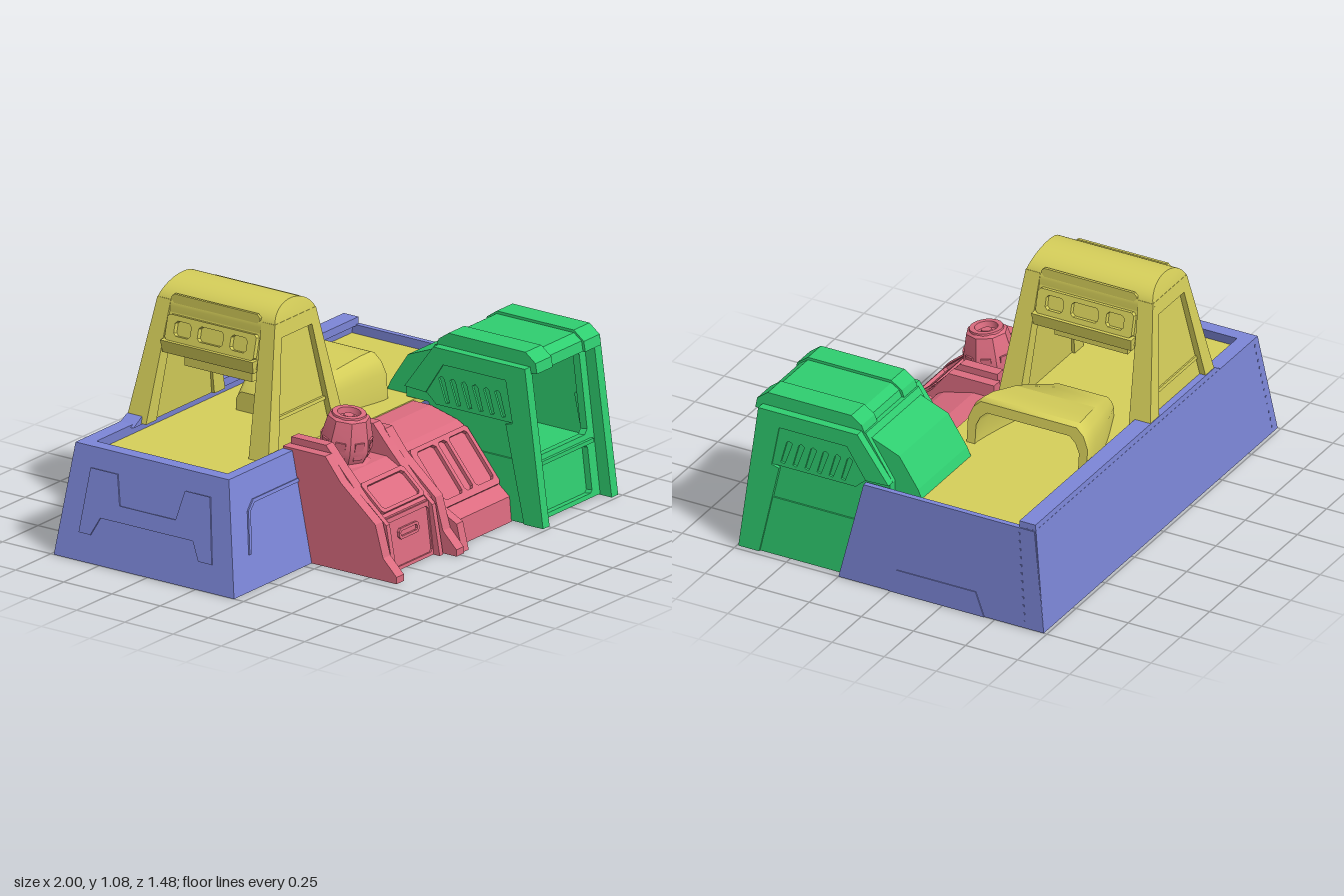
import * as THREE from 'three';
import { toCreasedNormals } from 'three/addons/utils/BufferGeometryUtils.js';

const mat = (color) => new THREE.MeshStandardMaterial({ color, side: THREE.DoubleSide });
const BLUE = mat(0x7c86d8), YELLOW = mat(0xd6cf5a), RED = mat(0xdc6c80), GREEN = mat(0x2fce70);

function add(parent, name, geo, material, pos = [0, 0, 0], rot = [0, 0, 0]) {
  const m = new THREE.Mesh(geo, material);
  m.name = name;
  m.position.set(...pos);
  m.rotation.set(...rot);
  parent.add(m);
  return m;
}
const group = (parent, name) => {
  const g = new THREE.Group();
  g.name = name;
  parent.add(g);
  return g;
};
const box = (w, h, d) => new THREE.BoxGeometry(w, h, d);

// Six-sided block between a bottom and a top rectangle [x0, x1, z0, z1]
function slab(y0, b, y1, t) {
  const geo = box(1, 1, 1), p = geo.attributes.position;
  const pick = (u, v, s) => (s > 0 ? Math.max(u, v) : Math.min(u, v));
  for (let i = 0; i < p.count; i++) {
    const r = p.getY(i) > 0 ? t : b;
    p.setXYZ(i, pick(r[0], r[1], p.getX(i)), p.getY(i) > 0 ? y1 : y0, pick(r[2], r[3], p.getZ(i)));
  }
  geo.computeVertexNormals();
  return geo;
}
function shapeOf(points, holes = []) {
  const s = new THREE.Shape(points.map((q) => new THREE.Vector2(...q)));
  for (const h of holes) s.holes.push(new THREE.Path(h.map((q) => new THREE.Vector2(...q))));
  return s;
}
// Flat outline in (x, y), thickened along z
const plate = (pts, depth, holes) =>
  new THREE.ExtrudeGeometry(shapeOf(pts, holes), { depth, bevelEnabled: false });
// Side profile in (z, y), running from x0 to x1
const prism = (pts, x0, x1, holes) =>
  plate(pts, x1 - x0, holes).rotateY(-Math.PI / 2).translate(x1, 0, 0);
const rect = (a0, b0, a1, b1, c = 0.012) => [[a0 + c, b0], [a1 - c, b0], [a1, b0 + c], [a1, b1 - c],
  [a1 - c, b1], [a0 + c, b1], [a0, b1 - c], [a0, b0 + c]];

function buildShell(root) {
  const g = group(root, 'outerWalls');
  // left, front, back and right walls; the back rim steps up
  add(g, 'leftWall', slab(0, [-1, -0.95, -0.735, 0.2], 0.48, [-0.9, -0.84, -0.695, 0.1]), BLUE);
  add(g, 'frontWall', slab(0, [-1, -0.43, 0.15, 0.2], 0.48, [-0.9, -0.43, 0.05, 0.1]), BLUE);
  add(g, 'backWall', slab(0, [-1, 1, -0.735, -0.69], 0.48, [-0.9, 0.995, -0.695, -0.63]), BLUE);
  add(g, 'backRim', slab(0.47, [-0.6, 0.995, -0.695, -0.615], 0.505, [-0.54, 0.994, -0.692, -0.615]), BLUE);
  add(g, 'rightWall', prism([[0.25, 0], [0.13, 0.475], [-0.69, 0.475], [-0.735, 0]], 0.975, 1), BLUE);
  // raised outlines on the walls
  add(g, 'rightWallNotch', prism([[0.01, 0], [-0.03, 0.11], [-0.41, 0.11], [-0.45, 0]], 0.99, 1.004), BLUE);
  add(g, 'frontWallPanel', plate([[-0.855, 0.15], [-0.815, 0.33], [-0.77, 0.37], [-0.45, 0.37], [-0.45, 0.355],
    [-0.765, 0.355], [-0.8, 0.325], [-0.84, 0.15]], 0.01), BLUE, [0, 0, 0.197], [-0.205, 0, 0]);
  add(g, 'leftWallPanel', prism([[-0.62, 0.12], [-0.6, 0.4], [-0.46, 0.4], [-0.43, 0.27], [-0.14, 0.27], [-0.11, 0.4],
    [0.02, 0.4], [0.07, 0.12], [0.0, 0.12], [-0.04, 0.2], [-0.52, 0.2], [-0.56, 0.12]], -0.006, 0.006), BLUE, [-1, 0, 0], [0, 0, -0.205]);
  // rivet rows near the two back corners
  for (let i = 0; i < 12; i++) {
    const y = 0.03 + i * 0.038;
    add(g, 'rivet', box(0.008, 0.01, 0.006), BLUE, [1, y, -0.645 + y * 0.06]);
    add(g, 'rivet', box(0.006, 0.01, 0.006), BLUE, [-0.96 + y * 0.2, y, -0.734 + y * 0.083]);
  }
}

function buildTower(root) {
  const g = group(root, 'archTower');
  g.position.set(-0.265, 0, -0.325);
  for (const s of [1, -1]) {
    const leg = group(g, s > 0 ? 'frontLeg' : 'backLeg');
    const foot = s > 0 ? 0.42 : 0.475; // the back leg stands on the rim
    add(leg, 'legPanel', slab(foot, [-0.23, 0.23, s * 0.28, s * 0.34], 1.0, [-0.12, 0.12, s * 0.235, s * 0.28]), YELLOW);
    for (const m of [1, -1])
      add(leg, 'legPost', slab(foot, [m * 0.205, m * 0.28, s * 0.265, s * 0.368], 1.0, [m * 0.095, m * 0.145, s * 0.235, s * 0.305]), YELLOW);
    add(leg, 'legTopBar', slab(0.935, [-0.14, 0.14, s * 0.235, s * 0.313], 1.0, [-0.13, 0.13, s * 0.235, s * 0.305]), YELLOW);
    add(leg, 'legCrossBar', slab(0.585, [-0.19, 0.19, s * 0.29, s * 0.335], 0.6, [-0.185, 0.185, s * 0.29, s * 0.333]), YELLOW);
  }
  // rounded roof with ends leaning inward
  const arc = [[-0.148, 0.94], [0.148, 0.94]];
  for (let i = 0; i <= 24; i++) {
    const a = (i / 24) * Math.PI;
    arc.push([0.148 * Math.cos(a), 0.975 + 0.1 * Math.sin(a)]);
  }
  const roof = plate(arc, 1), p = roof.attributes.position;
  for (let i = 0; i < p.count; i++)
    p.setZ(i, (p.getZ(i) > 0.5 ? 1 : -1) * (0.304 - Math.max(0, p.getY(i) - 1) * 0.33));
  add(g, 'roof', toCreasedNormals(roof, 0.5), YELLOW);
  // hanging cross body with windowed sides
  add(g, 'crossBody', slab(0.8, [-0.185, 0.185, -0.25, 0.25], 0.96, [-0.145, 0.145, -0.25, 0.25]), YELLOW);
  add(g, 'lowerRail', slab(0.785, [-0.205, 0.205, -0.235, 0.235], 0.84, [-0.215, 0.215, -0.24, 0.24]), YELLOW);
  add(g, 'underBox', box(0.26, 0.08, 0.35), YELLOW, [0, 0.755, 0]);
  const windows = [-0.145, 0, 0.145].map((z) => rect(z - (z ? 0.042 : 0.065), 0.025, z + (z ? 0.042 : 0.065), 0.09));
  for (const s of [1, -1]) {
    add(g, 'windowFrame', prism(rect(-0.23, 0, 0.23, 0.112), -0.015, 0.015, windows), YELLOW, [s * 0.185, 0.835, 0], [0, 0, s * 0.25]);
    add(g, 'roofEdge', prism(rect(-0.23, 0.99, 0.23, 1.03, 0.015), -0.006, 0.006), YELLOW, [s * 0.142, 0, 0]);
  }
}

// Flared hood: chamfered arch sections, outer skin and inner skin in one ring
function buildHood(root) {
  const arch = (hw, top, base) => [[-hw, base], [-hw, base + (top - base) * 0.6], [-hw * 0.92, base + (top - base) * 0.85],
    [-hw * 0.8, top], [hw * 0.8, top], [hw * 0.92, base + (top - base) * 0.85], [hw, base + (top - base) * 0.6], [hw, base]];
  const stations = [[-0.08, 0.145, 0.52], [0.0, 0.178, 0.55], [0.08, 0.21, 0.583], [0.16, 0.238, 0.609],
    [0.24, 0.26, 0.627], [0.32, 0.277, 0.64], [0.385, 0.288, 0.645], [0.41, 0.287, 0.634]];
  // the mouth leans back towards its top
  const rings = stations.map(([x, hw, top]) => [...arch(hw, top, 0.42), ...arch(hw - 0.04, top - 0.045, 0.42).reverse()]
    .map(([z, y]) => [x - (x > 0.3 ? (y - 0.42) * 0.1 : 0), y, z - 0.32]));
  // close the mouth rim and the narrow back end
  const fold = (ring, keepInner) => ring.map((_, i) => ring[keepInner === i < 8 ? 15 - i : i]);
  rings.push(fold(rings[rings.length - 1], true));
  const n = 16, pos = rings.flat(2), idx = [];
  for (let r = 0; r + 1 < rings.length; r++) for (let i = 0; i < n; i++) {
    const a = r * n + i, b = r * n + ((i + 1) % n);
    idx.push(a, a + n, b, b, a + n, b + n);
  }
  for (let i = 1; i < 7; i++) idx.push(0, i, i + 1);
  const geo = new THREE.BufferGeometry();
  geo.setAttribute('position', new THREE.Float32BufferAttribute(pos, 3));
  geo.setIndex(idx);
  add(root, 'hood', toCreasedNormals(geo, 0.75), YELLOW);
}

function buildConsole(root) {
  const g = group(root, 'consolePod');
  // side pillars with splayed feet
  const pillar = [[0.2, 0], [0.64, 0], [0.64, 0.03], [0.57, 0.1], [0.53, 0.24], [0.35, 0.39], [0.27, 0.49], [0.05, 0.49], [0.05, 0.43]];
  const cap = [[0.06, 0.42], [0.5, 0.24], [0.32, 0.43], [0.24, 0.52], [0.06, 0.52]];
  for (const s of [1, -1]) {
    const x = -0.212 + s * 0.212;
    add(g, 'pillar', prism(pillar, x - 0.026, x + 0.026), RED);
    add(g, 'pillarCap', prism(cap, x - s * 0.045 - 0.025, x - s * 0.045 + 0.025), RED);
    add(g, 'pillarRib', prism([[0.3, 0], [0.58, 0], [0.54, 0.22], [0.35, 0.38], [0.3, 0.38]], x - s * 0.05 - 0.012, x - s * 0.05 + 0.012), RED);
  }
  add(g, 'podBody', prism([[0.2, 0], [0.54, 0], [0.51, 0.24], [0.37, 0.36], [0.31, 0.39], [0.064, 0.39]], -0.4, -0.02), RED);
  // sloping lid frame, slot and lower face frame
  add(g, 'lidFrame', plate(rect(-0.15, -0.08, 0.15, 0.08), 0.016, [rect(-0.13, -0.065, 0.13, 0.06)]), RED, [-0.212, 0.302, 0.436], [-0.86, 0, 0]);
  add(g, 'faceFrame', plate(rect(-0.16, 0, 0.16, 0.235), 0.012, [rect(-0.145, 0.015, 0.145, 0.215)]), RED, [-0.212, 0, 0.537], [-0.124, 0, 0]);
  add(g, 'slot', plate(rect(-0.07, 0.125, 0.07, 0.172), 0.012, [rect(-0.058, 0.137, 0.058, 0.16, 0.006)]), RED, [-0.212, 0, 0.539], [-0.124, 0, 0]);
  // eight-sided nozzle with a round mouth
  const nozzle = group(g, 'nozzle');
  nozzle.position.set(-0.215, 0.38, 0.195);
  nozzle.rotation.x = 0.12;
  const lathe = (pts, seg) => toCreasedNormals(new THREE.LatheGeometry(pts.map((q) => new THREE.Vector2(...q)), seg), 0.5);
  add(nozzle, 'nozzleBody', lathe([[0.115, 0], [0.115, 0.02], [0.095, 0.03], [0.115, 0.08], [0.11, 0.13], [0.09, 0.215], [0.075, 0.225]], 8), RED);
  for (let i = 0; i < 8; i++) {
    const rib = add(nozzle, 'nozzleRib', slab(0.05, [-0.02, 0.02, 0.07, 0.1], 0.13, [-0.022, 0.022, 0.07, 0.11]), RED);
    rib.rotation.y = ((i + 0.5) * Math.PI) / 4;
  }
  add(nozzle, 'nozzleMouth', lathe([[0.075, 0.215], [0.072, 0.232], [0.05, 0.232], [0.045, 0.205], [0.025, 0.205], [0.022, 0.22], [0, 0.22]], 24), RED);

  // lower sloping bench between pod and cabin
  const b = group(root, 'sideBench');
  add(b, 'benchBody', prism([[0.2, 0], [0.57, 0], [0.56, 0.11], [0.51, 0.15], [0.32, 0.38], [0.29, 0.395], [0.15, 0.43], [0.05, 0.43]], 0.02, 0.46), RED);
  add(b, 'benchFrame', plate(rect(0.05, -0.145, 0.455, 0.14), 0.018, [rect(0.085, -0.115, 0.215, 0.12), rect(0.235, -0.115, 0.29, 0.12),
    rect(0.31, -0.115, 0.435, 0.12)]), RED, [0, 0.265, 0.413], [-0.69, 0, 0]);
  add(b, 'benchFoot', prism([[0.45, 0], [0.63, 0], [0.6, 0.12], [0.5, 0.17]], 0.03, 0.075), RED);
}

function buildCabin(root) {
  const g = group(root, 'cabin');
  const side = [[0.74, 0.005], [0.645, 0.695], [0.17, 0.695], [0.02, 0.49], [0.02, 0.44], [0.135, 0.44], [0.25, 0.005]];
  // slanted louvre openings
  const louvres = [];
  for (let i = 0; i < 6; i++) {
    const z = 0.54 - i * 0.058;
    louvres.push([[z, 0.46], [z - 0.018, 0.455], [z - 0.024, 0.47], [z - 0.056, 0.56], [z - 0.04, 0.57], [z - 0.028, 0.56]]);
  }
  const ventFrame = [[0.58, 0.44], [0.545, 0.625], [0.22, 0.625], [0.13, 0.485], [0.18, 0.44]];
  for (const s of [1, -1]) {
    const x = 0.717 + s * 0.243;
    const at = (a, b) => [Math.min(x + s * a, x + s * b), Math.max(x + s * a, x + s * b)];
    add(g, 'sidePost', prism([[0.74, 0.005], [0.645, 0.695], [0.17, 0.695], [0.02, 0.49], [0.13, 0.485], [0.22, 0.625], [0.545, 0.625],
      [0.58, 0.44], [0.545, 0.43], [0.64, 0.005]], ...at(-0.023, 0.023)), GREEN);
    add(g, 'sidePlate', prism(side, ...at(-0.018, 0.008)), GREEN);
    add(g, 'ventPanel', prism(ventFrame, ...at(0, 0.017), louvres), GREEN);
    add(g, 'sideLowerPanel', prism([[0.64, 0.006], [0.58, 0.28], [0.182, 0.28], [0.25, 0.006]], ...at(0, 0.015)), GREEN);
  }
  // hollow body: lower block, back wall, ceiling
  add(g, 'lowerBlock', slab(0.005, [0.49, 0.945, 0.22, 0.65], 0.255, [0.49, 0.945, 0.15, 0.62]), GREEN);
  add(g, 'backBlock', prism([[0.32, 0.25], [0.32, 0.69], [0.15, 0.69], [0.02, 0.49], [0.02, 0.44], [0.135, 0.44], [0.18, 0.25]], 0.49, 0.945), GREEN);
  add(g, 'ceiling', box(0.455, 0.05, 0.4), GREEN, [0.717, 0.67, 0.42]);
  add(g, 'rearCanopy', prism([[0.2, 0.68], [0.15, 0.67], [0, 0.61], [-0.09, 0.475], [-0.11, 0.43], [0.15, 0.43]], 0.505, 0.925), GREEN);
  // front frame with window and lower panel openings
  add(g, 'frontFrame', plate([[0.49, 0], [0.945, 0], [0.945, 0.69], [0.49, 0.69]], 0.035,
    [rect(0.54, 0.275, 0.895, 0.64, 0.02), rect(0.55, 0.02, 0.885, 0.23)]), GREEN, [0, 0.005, 0.645], [-0.125, 0, 0]);
  add(g, 'windowSill', box(0.4, 0.018, 0.02), GREEN, [0.717, 0.25, 0.652]);
  // bevelled roof caps, with a slightly lower middle strip
  const cap = (d) => [[0.64, 0.665], [0.68 - d, 0.67], [0.672 - d, 0.715], [0.62, 0.755 - d], [0.22, 0.755 - d], [0.17 + d, 0.72], [0.15 + d, 0.67]];
  add(g, 'roofMiddle', prism(cap(0.012), 0.59, 0.84), GREEN);
  add(g, 'roofCap', prism(cap(0), 0.49, 0.602), GREEN);
  add(g, 'roofCap', prism(cap(0), 0.832, 0.944), GREEN);
}

export function createModel() {
  const root = new THREE.Group();
  root.name = 'outpostBuilding';
  buildShell(root);
  add(root, 'deck', box(1.86, 0.03, 0.72), YELLOW, [0.06, 0.42, -0.3]);
  buildTower(root);
  buildHood(root);
  buildConsole(root);
  buildCabin(root);
  return root;
}
